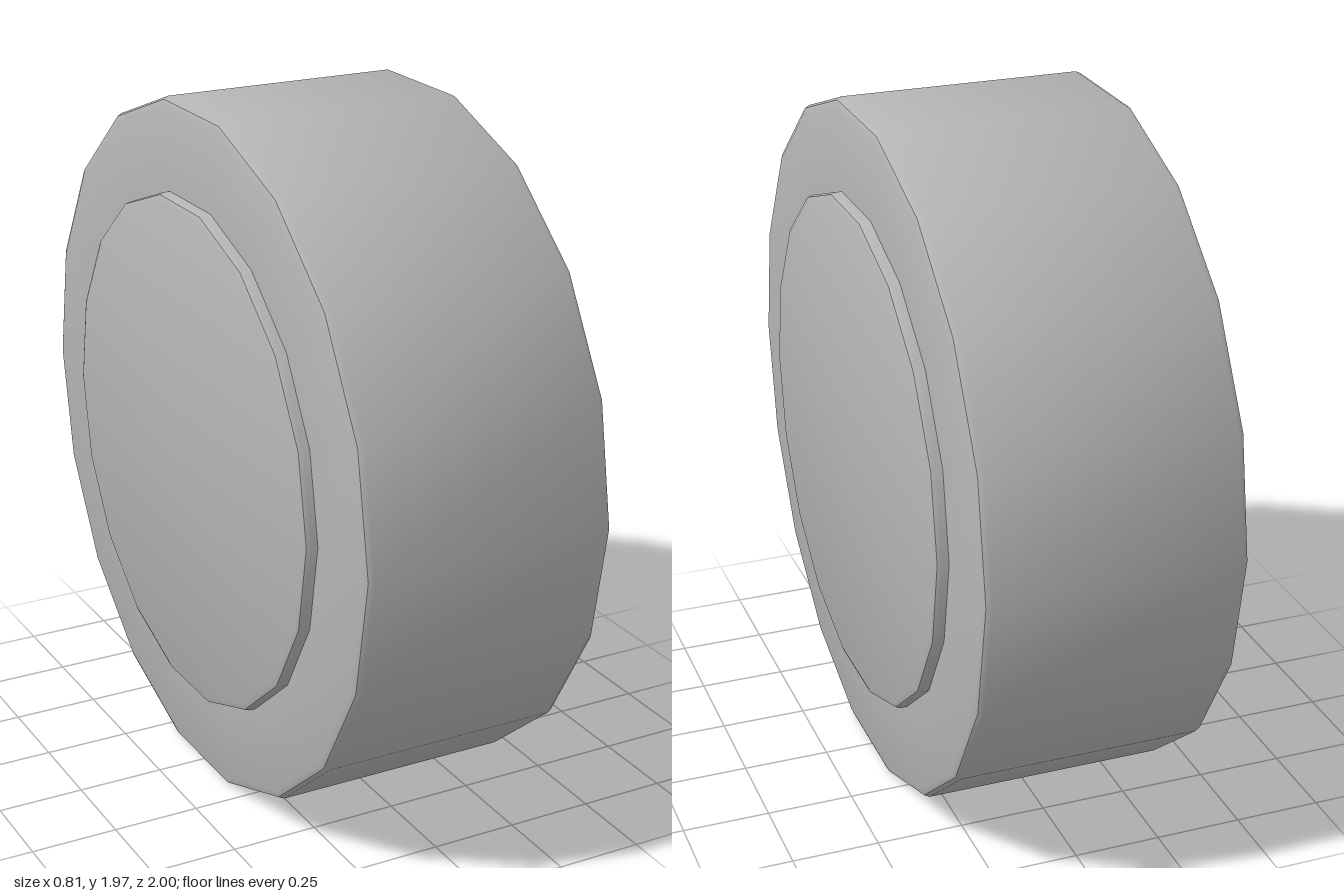
import * as THREE from 'three';
import { toCreasedNormals } from 'three/addons/utils/BufferGeometryUtils.js';

const SIDES = 18;

// Turn a [radius, offset along x] profile around the x axis
function turned(name, profile, material) {
  const points = profile.map(([r, h]) => new THREE.Vector2(r, h));
  const lathe = new THREE.LatheGeometry(points, SIDES).rotateZ(-Math.PI / 2);
  const mesh = new THREE.Mesh(toCreasedNormals(lathe, 0.6), material);
  mesh.name = name;
  return mesh;
}

export function createModel() {
  const grey = new THREE.MeshStandardMaterial({ color: 0xb4b4b4 });
  grey.name = 'grey';

  const wheel = new THREE.Group();
  wheel.name = 'wheel';

  // Broad tyre with small chamfers at both edges
  wheel.add(turned('tyre', [
    [0.70, -0.367], [0.975, -0.367], [0.992, -0.36], [1, -0.345],
    [1, 0.345], [0.992, 0.36], [0.975, 0.367], [0.70, 0.367],
  ], grey));

  // Raised hub running through the tyre, showing as a disc on each side
  wheel.add(turned('hub', [
    [0, -0.404], [0.72, -0.404], [0.735, -0.398], [0.74, -0.385],
    [0.74, 0.385], [0.735, 0.398], [0.72, 0.404], [0, 0.404],
  ], grey));

  // Rest the wheel on one flat facet
  wheel.position.y = Math.cos(Math.PI / SIDES);

  const model = new THREE.Group();
  model.name = 'wheelModel';
  model.add(wheel);
  return model;
}
